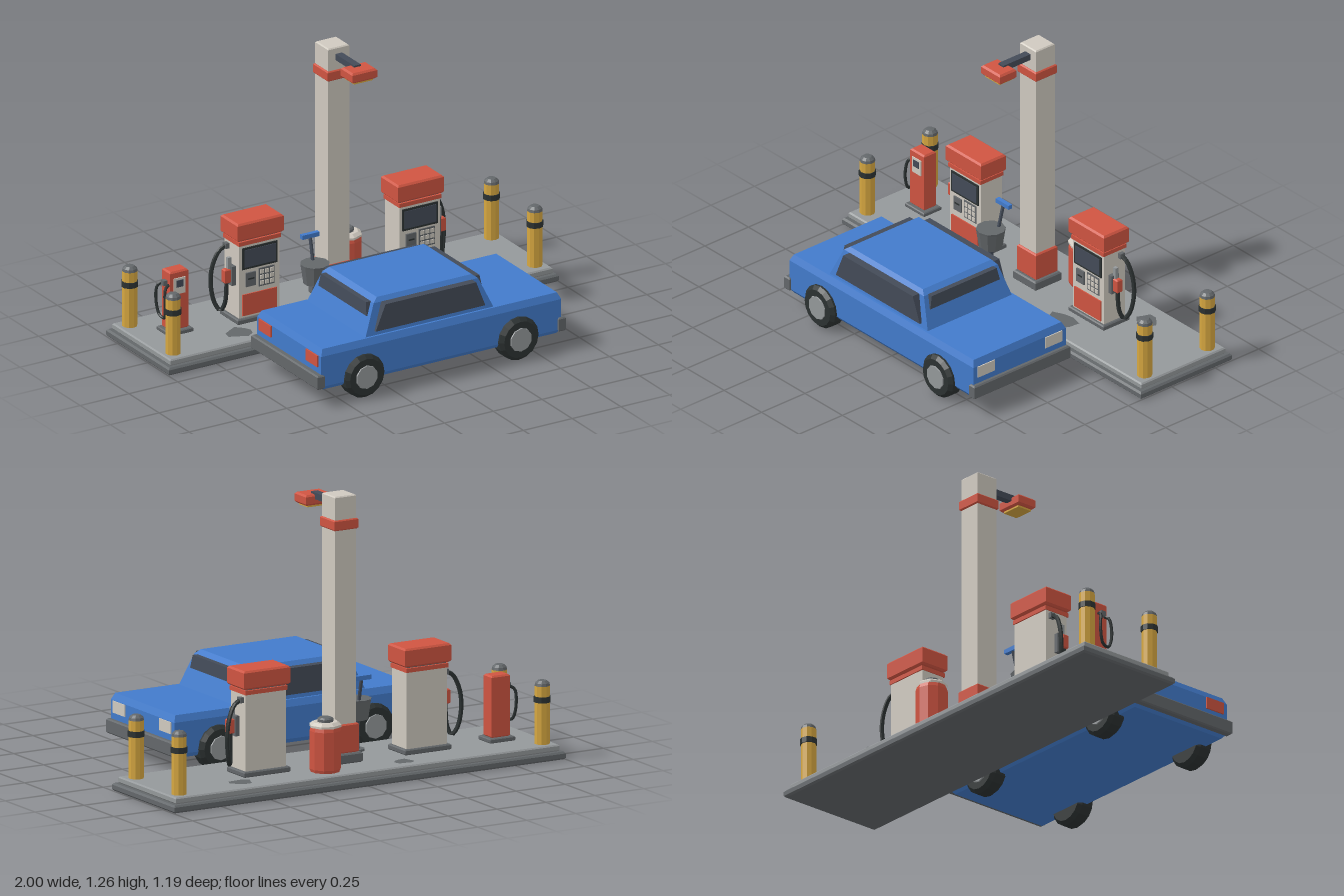
import * as THREE from 'three';

const COLORS = {
  blue: 0x427bcb, red: 0xcf5441, cream: 0xcfc9bf, yellow: 0xd6a740, slate: 0x434b58,
  black: 0x2c3232, lightGray: 0x94989a, darkGray: 0x63676a,
};
const M = {};

// Stack of rectangles [y, x0, x1, z0, z1] joined from bottom to top
function loft(rings) {
  const pos = [], idx = [];
  for (const [y, x0, x1, z0, z1] of rings) pos.push(x0, y, z1, x1, y, z1, x1, y, z0, x0, y, z0);
  for (let i = 0; i < rings.length - 1; i++) {
    for (let k = 0; k < 4; k++) {
      const a = i * 4 + k, b = i * 4 + (k + 1) % 4;
      idx.push(a, b, b + 4, a, b + 4, a + 4);
    }
  }
  const t = (rings.length - 1) * 4;
  idx.push(0, 3, 2, 0, 2, 1, t, t + 1, t + 2, t, t + 2, t + 3);
  const g = new THREE.BufferGeometry();
  g.setAttribute('position', new THREE.Float32BufferAttribute(pos, 3));
  g.setIndex(idx);
  const flat = g.toNonIndexed();
  flat.computeVertexNormals();
  return flat;
}

function add(parent, name, geometry, mat) {
  const m = new THREE.Mesh(geometry, mat);
  m.name = name;
  parent.add(m);
  return m;
}

// Box given by its limits, with chamfered top and bottom edges
function box(parent, name, mat, [x0, x1], [y0, y1], [z0, z1], c = 0) {
  const full = (y) => [y, x0, x1, z0, z1];
  const inset = (y) => [y, x0 + c, x1 - c, z0 + c, z1 - c];
  const rings = c ? [inset(y0), full(y0 + c), full(y1 - c), inset(y1)] : [full(y0), full(y1)];
  return add(parent, name, loft(rings), mat);
}

// Upright turned part from [radius, y] points
function turned(parent, name, mat, x, z, points, sides = 10) {
  const g = new THREE.LatheGeometry(points.map(([r, y]) => new THREE.Vector2(r, y)), sides);
  const m = add(parent, name, g, mat);
  m.position.set(x, 0, z);
  return m;
}

function tube(parent, name, mat, points, r) {
  const curve = new THREE.CatmullRomCurve3(points.map((p) => new THREE.Vector3(...p)));
  return add(parent, name, new THREE.TubeGeometry(curve, 28, r, 7), mat);
}

function group(parent, name, x = 0, z = 0) {
  const g = new THREE.Group();
  g.name = name;
  g.position.set(x, 0, z);
  parent.add(g);
  return g;
}

function buildIsland(root) {
  const g = group(root, 'island');
  box(g, 'curb', M.darkGray, [-1, 1], [0, 0.035], [-0.597, -0.073], 0.008);
  box(g, 'deck', M.lightGray, [-0.98, 0.98], [0.035, 0.065], [-0.577, -0.093], 0.006);
  // Irregular stains on the deck
  [[-0.23, -0.5, 0.052], [0.58, -0.47, 0.058], [-0.565, -0.195, 0.07], [0.34, -0.178, 0.088]].forEach(([x, z, r], n) => {
    const pts = [];
    for (let i = 0; i < 9; i++) {
      const a = i / 9 * Math.PI * 2, k = r * (0.88 + 0.16 * Math.sin(i * 2.3 + n * 1.7));
      pts.push(new THREE.Vector2(Math.cos(a) * k, Math.sin(a) * k * 0.85));
    }
    const s = add(g, 'stain', new THREE.ShapeGeometry(new THREE.Shape(pts)), M.darkGray);
    s.rotation.x = -Math.PI / 2;
    s.position.set(x, 0.067, z);
  });
  // Corner bollards
  for (const x of [-0.927, 0.927]) for (const z of [-0.157, -0.517]) {
    const b = group(g, 'bollard', x, z);
    turned(b, 'post', M.yellow, 0, 0, [[0.034, 0.065], [0.034, 0.325], [0.03, 0.335]]);
    turned(b, 'band', M.black, 0, 0, [[0.033, 0.252], [0.038, 0.252], [0.038, 0.278], [0.033, 0.278]]);
    turned(b, 'cap', M.darkGray, 0, 0, [[0.035, 0.325], [0.032, 0.337], [0.02, 0.348], [0, 0.35]]);
  }
}

function buildPole(root) {
  const g = group(root, 'lampPole', 0, -0.337);
  const ring = (name, mat, r, y0, y1, c) => box(g, name, mat, [-r, r], [y0, y1], [-r, r], c);
  ring('plinth', M.darkGray, 0.075, 0.065, 0.11, 0.006);
  ring('baseCollar', M.red, 0.063, 0.11, 0.24, 0.006);
  ring('shaft', M.cream, 0.054, 0.1, 1.262, 0.005);
  ring('upperBand', M.red, 0.061, 1.11, 1.157, 0.005);
  box(g, 'arm', M.slate, [-0.017, 0.017], [1.203, 1.232], [0.05, 0.21]);
  box(g, 'lampHead', M.red, [-0.064, 0.064], [1.176, 1.224], [0.174, 0.27], 0.008);
  box(g, 'lampGlow', M.yellow, [-0.048, 0.048], [1.168, 1.177], [0.185, 0.259]);
}

// side = +1 or -1 chooses where the hose hangs
function buildPump(root, side) {
  const g = group(root, 'fuelPump', side * 0.411, -0.337);
  box(g, 'foot', M.darkGray, [-0.118, 0.118], [0.065, 0.09], [-0.074, 0.074], 0.005);
  box(g, 'body', M.cream, [-0.104, 0.104], [0.085, 0.44], [-0.06, 0.06], 0.005);
  box(g, 'neckBand', M.red, [-0.108, 0.108], [0.433, 0.452], [-0.066, 0.066]);
  box(g, 'neck', M.darkGray, [-0.1, 0.1], [0.44, 0.46], [-0.056, 0.056]);
  box(g, 'head', M.red, [-0.118, 0.118], [0.457, 0.541], [-0.072, 0.072], 0.008);
  box(g, 'screenFrame', M.black, [-0.09, 0.09], [0.318, 0.42], [0.058, 0.065]);
  box(g, 'screen', M.slate, [-0.08, 0.08], [0.328, 0.41], [0.064, 0.068]);
  box(g, 'cardReader', M.darkGray, [-0.072, -0.022], [0.235, 0.3], [0.058, 0.068]);
  box(g, 'cardSlot', M.black, [-0.062, -0.032], [0.268, 0.275], [0.067, 0.07]);
  box(g, 'keypad', M.darkGray, [-0.005, 0.075], [0.222, 0.308], [0.058, 0.064]);
  for (let i = 0; i < 3; i++) for (let j = 0; j < 3; j++) {
    const x = 0.002 + i * 0.025, y = 0.23 + j * 0.026;
    box(g, 'key', M.cream, [x, x + 0.018], [y, y + 0.018], [0.063, 0.068]);
  }
  box(g, 'lowerPanel', M.red, [-0.088, 0.088], [0.1, 0.2], [0.058, 0.066]);
  // Nozzle holster and hose on the outer side
  const span = (a, b) => (side > 0 ? [a, b] : [-b, -a]);
  box(g, 'holster', M.darkGray, span(0.1, 0.125), [0.24, 0.33], [-0.01, 0.034]);
  box(g, 'nozzleGrip', M.red, span(0.124, 0.155), [0.252, 0.318], [-0.003, 0.027], 0.005);
  box(g, 'nozzleSpout', M.lightGray, span(0.118, 0.136), [0.31, 0.37], [0.005, 0.02]);
  box(g, 'hoseFitting', M.darkGray, span(0.1, 0.122), [0.395, 0.42], [-0.046, -0.02]);
  const path = [[0.11, 0.408, -0.033], [0.145, 0.39, -0.036], [0.178, 0.32, -0.042], [0.186, 0.23, -0.042],
    [0.172, 0.145, -0.03], [0.155, 0.116, -0.012], [0.143, 0.15, 0.004], [0.139, 0.21, 0.01], [0.139, 0.256, 0.012]];
  tube(g, 'hose', M.black, path.map(([x, y, z]) => [side * x, y, z]), 0.01);
}

function buildAirUnit(root) {
  const g = group(root, 'airUnit', -0.791, -0.36);
  box(g, 'foot', M.darkGray, [-0.064, 0.064], [0.065, 0.085], [-0.05, 0.05], 0.004);
  box(g, 'cabinet', M.red, [-0.047, 0.047], [0.083, 0.362], [-0.034, 0.034], 0.007);
  box(g, 'gaugePlate', M.cream, [-0.03, 0.03], [0.255, 0.33], [0.032, 0.039]);
  box(g, 'gauge', M.slate, [-0.018, 0.018], [0.288, 0.32], [0.038, 0.042]);
  box(g, 'hoseHook', M.darkGray, [-0.066, -0.045], [0.295, 0.318], [-0.012, 0.012]);
  tube(g, 'airHose', M.black, [[-0.05, 0.307, -0.015], [-0.075, 0.29, -0.025], [-0.08, 0.22, -0.03], [-0.074, 0.155, -0.01],
    [-0.07, 0.15, 0.025], [-0.076, 0.21, 0.038], [-0.066, 0.29, 0.028], [-0.04, 0.3, 0.02]], 0.007);
}

function buildExtras(root) {
  const can = group(root, 'trashCan', 0.155, -0.475);
  turned(can, 'drum', M.red, 0, 0, [[0, 0.066], [0.066, 0.066], [0.071, 0.08], [0.071, 0.25], [0.066, 0.268], [0, 0.268]]);
  turned(can, 'lid', M.cream, 0, 0, [[0.072, 0.266], [0.072, 0.276], [0.055, 0.288], [0, 0.288]], 8);
  turned(can, 'lidKnob', M.darkGray, 0, 0, [[0.036, 0.286], [0.036, 0.3], [0.028, 0.307], [0, 0.307]]);

  const wash = group(root, 'washStation', -0.166, -0.212);
  turned(wash, 'washFoot', M.darkGray, 0, 0, [[0.035, 0.065], [0.035, 0.075], [0, 0.075]]);
  turned(wash, 'washPost', M.slate, 0, 0, [[0.011, 0.065], [0.011, 0.215]], 8);
  turned(wash, 'bucket', M.darkGray, 0, 0, [[0, 0.208], [0.052, 0.208], [0.064, 0.29], [0.066, 0.3], [0, 0.3]]);
  tube(wash, 'squeegeeStick', M.slate, [[0.01, 0.27, -0.03], [0.012, 0.34, -0.046], [0.013, 0.405, -0.062]], 0.008);
  box(wash, 'squeegeeHead', M.blue, [-0.03, 0.057], [0.396, 0.416], [-0.074, -0.053]);
}

function buildCar(root) {
  const g = group(root, 'car', 0, 0.297);
  add(g, 'lowerBody', loft([
    [0.072, -0.595, 0.6, -0.25, 0.25], [0.092, -0.612, 0.618, -0.266, 0.266],
    [0.235, -0.612, 0.618, -0.266, 0.266], [0.265, -0.598, 0.604, -0.252, 0.252],
  ]), M.blue);
  add(g, 'cabin', loft([
    [0.26, -0.372, 0.287, -0.243, 0.243], [0.403, -0.31, 0.225, -0.212, 0.212], [0.422, -0.285, 0.2, -0.197, 0.197],
  ]), M.blue);
  // Side glass runs through the cabin and stands slightly proud
  const glass = new THREE.Shape([[-0.322, 0.284], [0.24, 0.284], [0.193, 0.403], [-0.272, 0.403]].map((p) => new THREE.Vector2(...p)));
  const side = add(g, 'sideWindows', new THREE.ExtrudeGeometry(glass, { depth: 0.498, bevelEnabled: false }), M.slate);
  side.position.z = -0.249;
  add(g, 'windshield', loft([[0.345, 0.15, 0.254, -0.2, 0.2], [0.404, 0.15, 0.248, -0.187, 0.187]]), M.slate);
  add(g, 'rearWindow', loft([[0.345, -0.34, -0.25, -0.2, 0.2], [0.404, -0.334, -0.25, -0.187, 0.187]]), M.slate);
  box(g, 'frontBumper', M.darkGray, [0.6, 0.637], [0.085, 0.15], [-0.276, 0.276], 0.006);
  box(g, 'rearBumper', M.darkGray, [-0.637, -0.6], [0.085, 0.15], [-0.276, 0.276], 0.006);
  for (const s of [-1, 1]) {
    const z = s * 0.194;
    box(g, 'headlight', M.cream, [0.612, 0.623], [0.18, 0.233], [z - 0.049, z + 0.049]);
    box(g, 'taillight', M.red, [-0.619, -0.608], [0.18, 0.233], [z - 0.049, z + 0.049]);
    for (const x of [-0.395, 0.395]) {
      const w = group(g, 'wheel', x, s * 0.25);
      w.position.y = 0.101;
      w.rotation.x = s * Math.PI / 2;
      turned(w, 'tire', M.black, 0, 0, [[0, -0.042], [0.085, -0.042], [0.101, -0.026], [0.101, 0.026], [0.085, 0.042], [0, 0.042]], 16);
      turned(w, 'hub', M.lightGray, 0, 0, [[0.056, 0.04], [0.054, 0.047], [0, 0.047]], 10);
    }
  }
}

export function createModel() {
  for (const [name, color] of Object.entries(COLORS)) {
    M[name] = new THREE.MeshStandardMaterial({ color, flatShading: true });
    M[name].name = name;
  }
  const root = new THREE.Group();
  root.name = 'fuelStation';
  buildIsland(root);
  buildPole(root);
  buildPump(root, -1);
  buildPump(root, 1);
  buildAirUnit(root);
  buildExtras(root);
  buildCar(root);
  return root;
}
